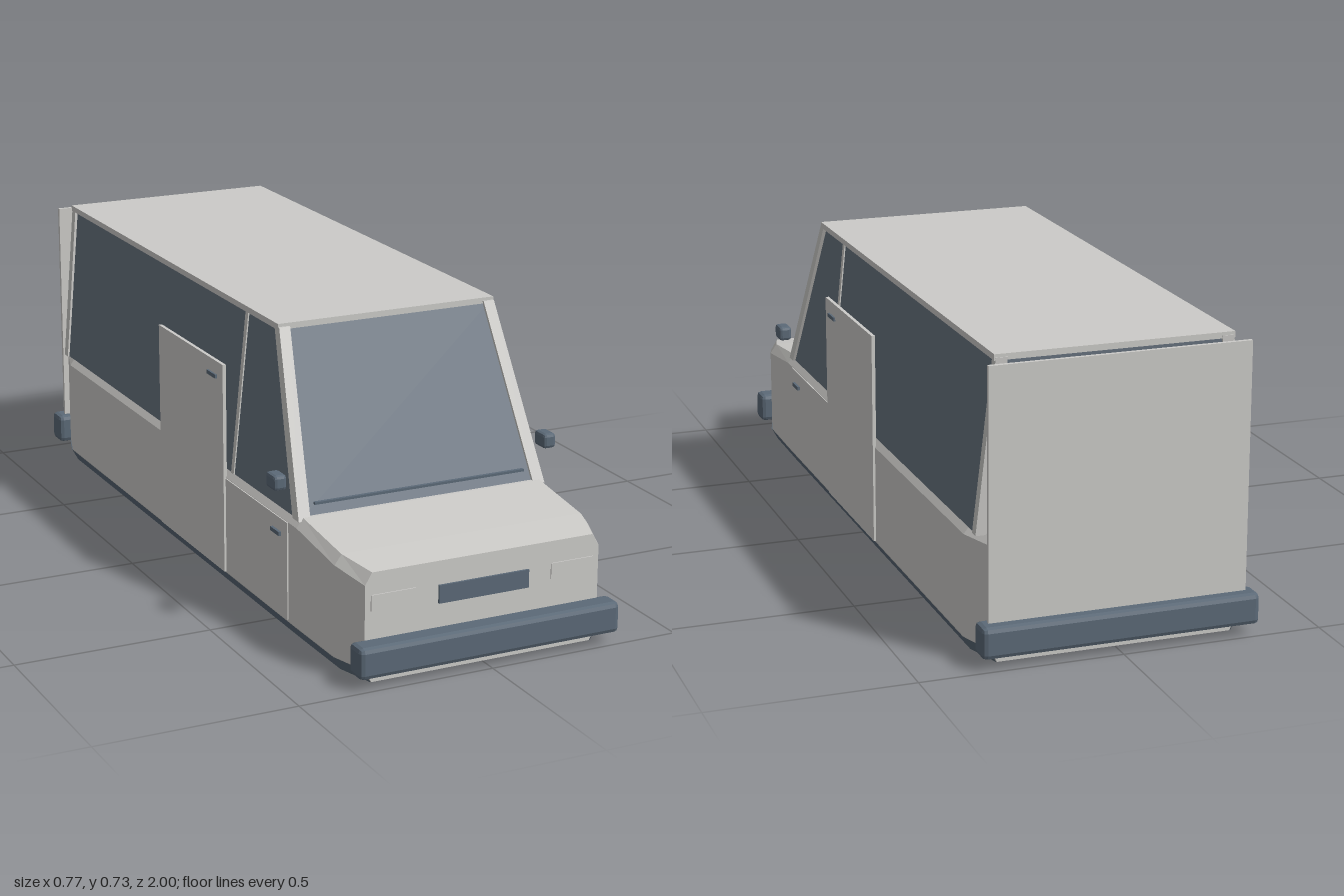
import * as THREE from 'three';
import { RoundedBoxGeometry } from 'three/addons/geometries/RoundedBoxGeometry.js';

const paint = new THREE.MeshStandardMaterial({ color: 0xcccbc8 });
paint.name = 'body paint';
const glass = new THREE.MeshStandardMaterial({ color: 0x68737f });
glass.name = 'window glass';
const trim = new THREE.MeshStandardMaterial({ color: 0x5b6977 });
trim.name = 'dark trim';
const sillTrim = trim.clone();
sillTrim.name = 'sill trim';
sillTrim.side = THREE.DoubleSide;

// Flat-faced geometry through matching rings of [x, y, z] points
function loft(rings, closed = true) {
  const pos = [];
  const tri = (a, b, c) => pos.push(...a, ...b, ...c);
  const n = rings[0].length;
  for (let r = 0; r < rings.length - 1; r++) {
    const a = rings[r], b = rings[r + 1];
    for (let i = 0; i < (closed ? n : n - 1); i++) {
      const j = (i + 1) % n;
      tri(a[i], a[j], b[j]);
      tri(a[i], b[j], b[i]);
    }
  }
  if (closed) {
    const first = rings[0], last = rings[rings.length - 1];
    for (let i = 1; i < n - 1; i++) {
      tri(first[0], first[i + 1], first[i]);
      tri(last[0], last[i], last[i + 1]);
    }
  }
  const g = new THREE.BufferGeometry();
  g.setAttribute('position', new THREE.Float32BufferAttribute(pos, 3));
  g.computeVertexNormals();
  return g;
}

// Horizontal rectangle ring for upright lofts
const rect = (x0, x1, z0, z1, y) => [[x0, y, z1], [x1, y, z1], [x1, y, z0], [x0, y, z0]];

export function createModel() {
  const van = new THREE.Group();
  van.name = 'van';

  function add(name, geometry, material) {
    const mesh = new THREE.Mesh(geometry, material);
    mesh.name = name;
    van.add(mesh);
    return mesh;
  }
  // Box given by its limits
  function box(name, material, [x0, x1], [y0, y1], [z0, z1], bevel = 0) {
    const size = [x1 - x0, y1 - y0, z1 - z0];
    const g = bevel ? new RoundedBoxGeometry(...size, 1, bevel) : new THREE.BoxGeometry(...size);
    if (bevel) g.computeVertexNormals();
    const mesh = add(name, g, material);
    mesh.position.set((x0 + x1) / 2, (y0 + y1) / 2, (z0 + z1) / 2);
  }

  // Lower body: z, half width, shoulder height, top height
  const stations = [
    [-0.945, 0.31, 0.285, 0.308],
    [-0.85, 0.34, 0.285, 0.308],
    [0.65, 0.34, 0.285, 0.308],
    [0.85, 0.338, 0.26, 0.285],
    [0.95, 0.31, 0.24, 0.27],
  ];
  add('lowerBody', loft(stations.map(([z, w, sh, top]) => {
    const half = [[w - 0.018, 0], [w, 0.033], [w, sh], [w - 0.018, top]];
    return [
      ...half.map(([x, y]) => [x, y, z]),
      ...half.reverse().map(([x, y]) => [-x, y, z]),
    ];
  })), paint);

  // Glasshouse, tapering to the roof
  add('windows', loft([
    rect(-0.328, 0.328, -0.905, 0.645, 0.3),
    rect(-0.284, 0.284, -0.922, 0.45, 0.718),
  ]), glass);
  box('roof', paint, [-0.294, 0.294], [0.715, 0.73], [-0.928, 0.452]);
  box('wiper', trim, [-0.285, 0.285], [0.331, 0.337], [0.628, 0.637]);

  // Front panel details
  box('grille', trim, [-0.12, 0.118], [0.166, 0.211], [0.948, 0.956]);

  // Bumpers and tailgate
  box('frontBumper', trim, [-0.345, 0.345], [0.028, 0.106], [0.938, 1], 0.012);
  box('rearBumper', trim, [-0.345, 0.345], [0.028, 0.106], [-1, -0.935], 0.012);
  box('tailgate', paint, [-0.321, 0.321], [0.095, 0.716], [-0.967, -0.957]);

  for (const s of [1, -1]) {
    const side = s > 0 ? 'left' : 'right';
    const span = (a, b) => (s > 0 ? [a, b] : [-b, -a]);
    const pillar = (name, low, high) => add(`${side}${name}`, loft([
      rect(...span(low[0], low[1]), low[2], low[3], 0.3),
      rect(...span(high[0], high[1]), high[2], high[3], 0.722),
    ]), paint);

    // Pillars: inner x, outer x, rear z, front z at belt and roof
    pillar('FrontPillar', [0.304, 0.335, 0.618, 0.653], [0.264, 0.293, 0.43, 0.457]);
    pillar('MiddlePillar', [0.31, 0.331, 0.252, 0.268], [0.268, 0.287, 0.252, 0.268]);
    pillar('RearPillar', [0.3, 0.333, -0.912, -0.888], [0.262, 0.291, -0.93, -0.907]);

    // Dark sill skin along the lower edge
    add(`${side}Sill`, loft(stations.map(([z, w]) => [
      [s * (w - 0.016), 0, z], [s * (w + 0.002), 0.033, z],
    ]), false), sillTrim);

    // Doors and handles
    box(`${side}FrontDoor`, paint, span(0.334, 0.343), [0.037, 0.284], [0.246, 0.605]);
    box(`${side}SlidingDoor`, paint, span(0.337, 0.346), [0.035, 0.578], [-0.168, 0.24]);
    box(`${side}FrontHandle`, trim, span(0.342, 0.35), [0.241, 0.251], [0.524, 0.572]);
    box(`${side}SlidingHandle`, trim, span(0.344, 0.351), [0.534, 0.544], [0.152, 0.205]);

    // Headlight and wing mirror
    box(`${side}Headlight`, paint, span(0.18, 0.295), [0.176, 0.215], [0.948, 0.953]);
    box(`${side}Mirror`, trim, span(0.35, 0.384), [0.373, 0.411], [0.57, 0.622], 0.008);
  }
  return van;
}
